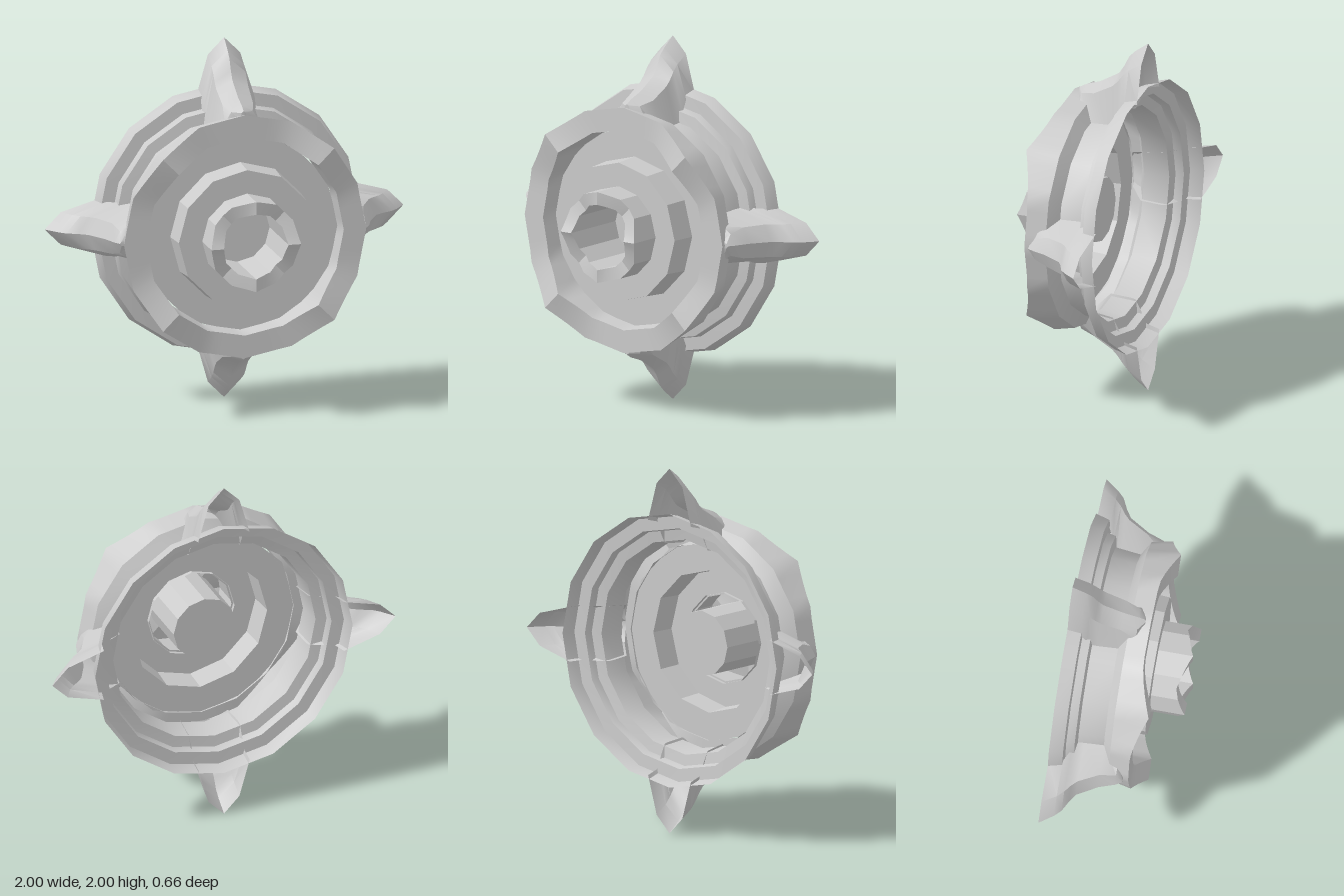
import * as THREE from 'three';
import { toCreasedNormals } from 'three/addons/utils/BufferGeometryUtils.js';

const material = new THREE.MeshStandardMaterial({ color: 0xcccccc, side: THREE.DoubleSide });

// Faceted turned part around the z axis. Profile points are [radius, z].
// `lift(t, z)` adds depth, with t = 0 on the x/y axes and 1 on the diagonals.
function turned(name, sides, profile, lift) {
  const segments = lift ? sides * 4 : sides;
  const geo = new THREE.LatheGeometry(profile.map(([r, z]) => new THREE.Vector2(r, z)), segments);
  geo.rotateX(Math.PI / 2);
  if (lift) {
    const p = geo.attributes.position;
    const step = (2 * Math.PI) / sides;
    for (let i = 0; i < p.count; i++) {
      const x = p.getX(i), y = p.getY(i), z = p.getZ(i);
      const a = Math.atan2(y, x) + 2 * Math.PI;
      // pull the extra vertices onto the flat sides of the polygon
      const k = Math.cos(step / 2) / Math.cos(((a + 1e-6) % step) - step / 2);
      const quarter = a % (Math.PI / 2);
      const t = Math.min(quarter, Math.PI / 2 - quarter) / (Math.PI / 4);
      p.setXYZ(i, x * k, y * k, z + lift(t, z));
    }
  }
  const mesh = new THREE.Mesh(toCreasedNormals(geo, 0.45), material);
  mesh.name = name;
  return mesh;
}

// Hollow horn lofted from ridged cross-sections, open at the back.
// Its lower edges follow the stepped wall so the sides meet it everywhere.
// Section: [z, ridge height, shoulder x, shoulder height, base x, base height]
function hornGeometry() {
  const sections = [
    [-0.33, 1.00, 0.09, 0.91, 0.15, 0.70],
    [-0.255, 0.945, 0.09, 0.865, 0.15, 0.68],
    [-0.22, 0.91, 0.09, 0.83, 0.15, 0.605],
    [-0.19, 0.85, 0.09, 0.79, 0.15, 0.55],
    [-0.16, 0.805, 0.09, 0.76, 0.15, 0.545],
    [-0.05, 0.74, 0.085, 0.70, 0.14, 0.535],
    [0.035, 0.71, 0.06, 0.68, 0.095, 0.62],
    [0.07, 0.69, 0.012, 0.68, 0.018, 0.64],
  ];
  const positions = [], index = [];
  for (const [z, ridge, sx, sy, bx, by] of sections) {
    positions.push(-bx, by, z, -sx, sy, z, 0, ridge, z, sx, sy, z, bx, by, z);
  }
  for (let s = 0; s < sections.length - 1; s++) {
    for (let j = 0; j < 4; j++) {
      const a = s * 5 + j, b = a + 5;
      index.push(a, b, a + 1, b, b + 1, a + 1);
    }
  }
  // close the nose
  const n = (sections.length - 1) * 5;
  for (let j = 1; j < 4; j++) index.push(n, n + j + 1, n + j);
  const geo = new THREE.BufferGeometry();
  geo.setAttribute('position', new THREE.Float32BufferAttribute(positions, 3));
  geo.setIndex(index);
  return toCreasedNormals(geo, 0.6);
}

export function createModel() {
  const model = new THREE.Group();
  model.name = 'hornedHub';
  model.position.y = 1;

  // Thin stepped wall with the back flange
  model.add(turned('outerWall', 16, [
    [0.75, -0.33], [0.73, -0.255], [0.66, -0.25], [0.65, -0.205],
    [0.59, -0.195], [0.575, -0.055], [0.65, -0.01],
  ]));

  // Front ring, scalloped with crests on the diagonals
  model.add(turned('frontRing', 16,
    [[0.65, -0.01], [0.675, 0.1], [0.55, 0.1], [0.54, -0.01]],
    (t, z) => (z > 0.09 ? 0.075 * Math.pow(Math.max(0, (t - 0.4) / 0.6), 1.5) : 0)));

  // Deep recessed face with a raised central step
  model.add(turned('facePlate', 12, [[0.55, 0], [0.39, 0], [0.38, 0.14], [0.24, 0.14]]));

  // Hub collar with four crown teeth and a blind socket reaching out the back
  model.add(turned('hub', 12,
    [[0, -0.06], [0.18, -0.06], [0.18, 0.33], [0.25, 0.33], [0.25, 0.12]],
    (t, z) => (z > 0.25 ? -0.06 * Math.pow(t, 0.8) : 0)));

  // Four horns around the wall
  const geo = hornGeometry();
  for (let i = 0; i < 4; i++) {
    const horn = new THREE.Mesh(geo, material);
    horn.name = `horn${i + 1}`;
    horn.rotation.z = (i * Math.PI) / 2;
    model.add(horn);
  }

  const root = new THREE.Group();
  root.add(model);
  return root;
}
